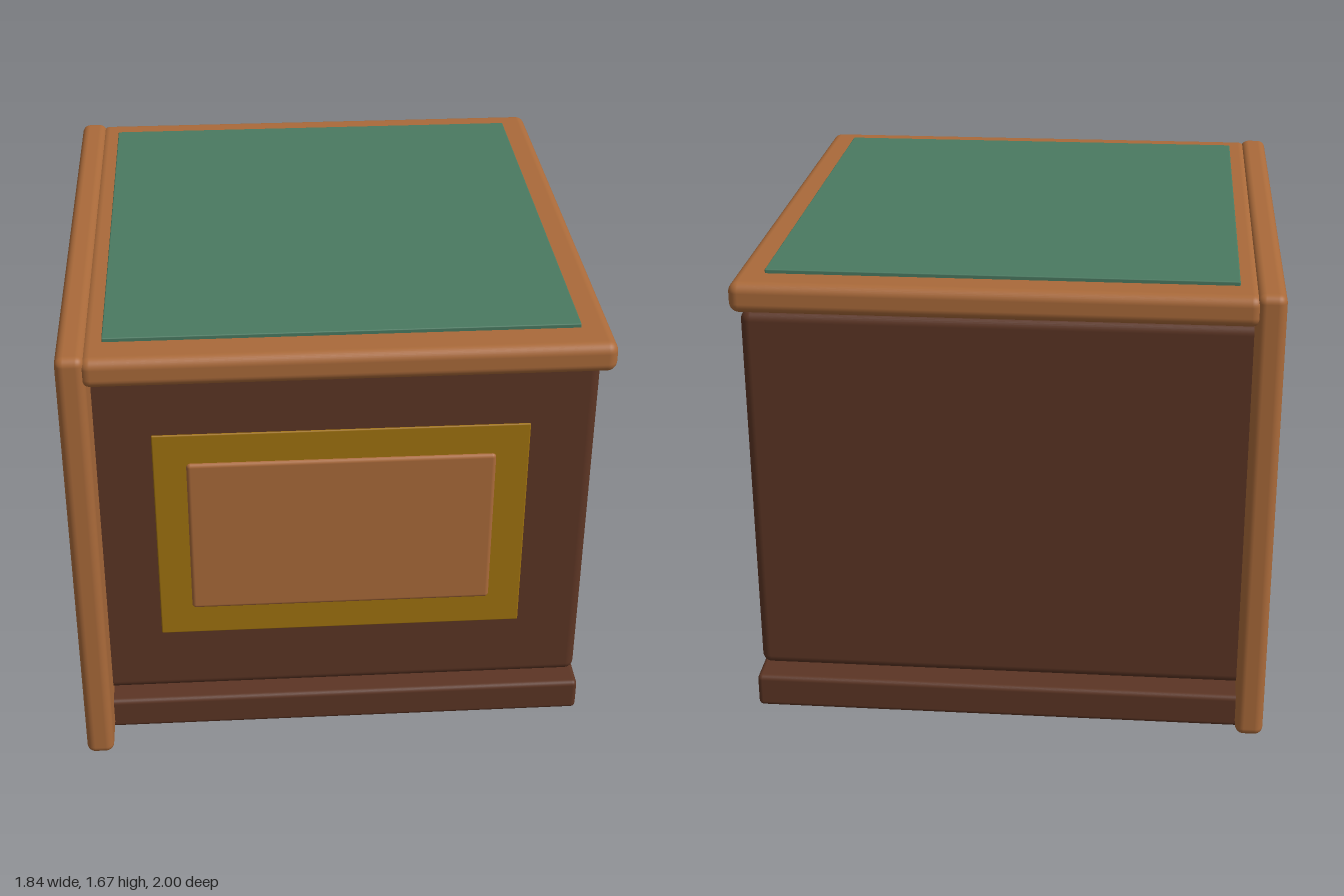
import * as THREE from 'three';
import { RoundedBoxGeometry } from 'three/addons/geometries/RoundedBoxGeometry.js';

const material = (name, color) => {
  const m = new THREE.MeshStandardMaterial({ color });
  m.name = name;
  return m;
};

// Box with rounded edges, given by its [min, max] extent on each axis
function block(name, mat, x, y, z, radius) {
  const size = [x, y, z].map(([a, b]) => b - a);
  const mesh = new THREE.Mesh(new RoundedBoxGeometry(...size, 4, radius), mat);
  mesh.position.set((x[0] + x[1]) / 2, (y[0] + y[1]) / 2, (z[0] + z[1]) / 2);
  mesh.name = name;
  return mesh;
}

export function createModel() {
  const lightWood = material('lightWood', 0xaa6a3a);
  const darkWood = material('darkWood', 0x5c3524);
  const brass = material('brass', 0xa0720f);
  const leather = material('greenLeather', 0x4a7a61);

  const model = new THREE.Group();
  model.name = 'deskPedestal';
  model.add(
    // Carcass
    block('plinth', darkWood, [-0.86, 0.92], [0, 0.125], [-0.94, 0.855], 0.018),
    block('cabinetBody', darkWood, [-0.86, 0.91], [0.15, 1.525], [-0.895, 0.815], 0.035),
    block('sidePanel', lightWood, [-0.92, -0.822], [0, 1.668], [-1, 1], 0.03),
    // Top with its inlay
    block('topBoard', lightWood, [-0.842, 0.92], [1.553, 1.66], [-1, 1], 0.035),
    block('leatherInlay', leather, [-0.77, 0.815], [1.652, 1.674], [-0.88, 0.87], 0.004),
    // Front decoration
    block('brassPlate', brass, [-0.63, 0.68], [0.41, 1.26], [0.806, 0.821], 0.005),
    block('frontPanel', lightWood, [-0.515, 0.565], [0.525, 1.145], [0.79, 0.832], 0.015)
  );
  return model;
}
